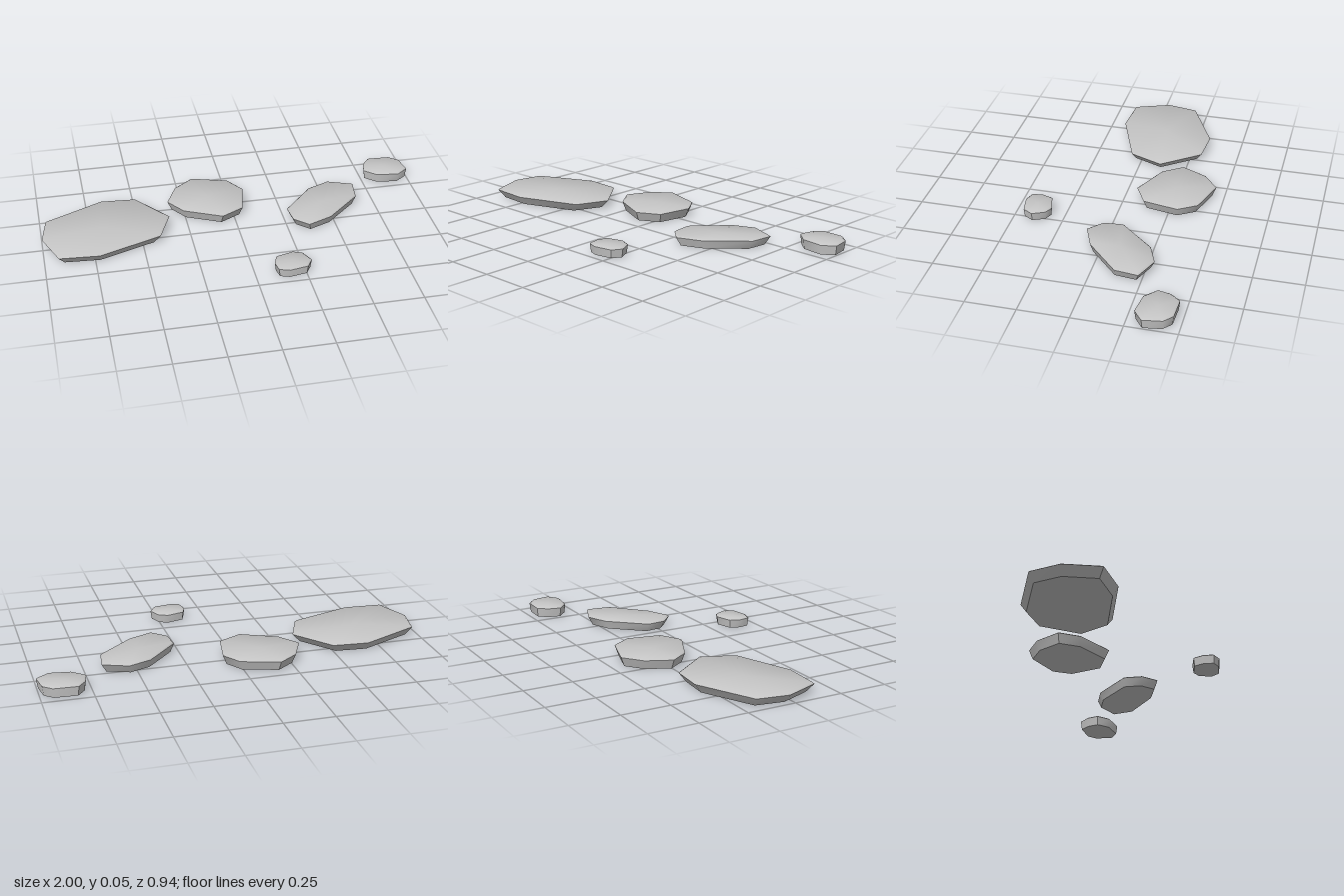
import * as THREE from 'three';
import { toCreasedNormals } from 'three/addons/utils/BufferGeometryUtils.js';

// Outline [x, z] of each slab, its height, and how far the foot tapers inward
const STONES = [
  { name: 'largeStone', height: 0.05, foot: 0.88, outline: [
    [-0.97, -0.19], [-0.67, -0.33], [-0.49, -0.315], [-0.34, -0.12],
    [-0.41, 0.05], [-0.73, 0.165], [-0.93, 0.15], [-1, -0.03]] },
  { name: 'roundStone', height: 0.055, foot: 0.9, outline: [
    [-0.33, -0.25], [-0.27, -0.38], [-0.17, -0.455], [0.02, -0.395],
    [0.08, -0.3], [0.045, -0.12], [-0.07, -0.06], [-0.26, -0.15]] },
  { name: 'longStone', height: 0.05, foot: 0.89, outline: [
    [0.27, -0.07], [0.43, -0.245], [0.545, -0.29], [0.67, -0.24],
    [0.655, -0.12], [0.475, 0.045], [0.35, 0.095], [0.28, 0.03]] },
  { name: 'farStone', height: 0.055, foot: 0.94, outline: [
    [0.765, -0.355], [0.78, -0.42], [0.82, -0.47], [0.94, -0.465],
    [0.985, -0.425], [1, -0.33], [0.94, -0.285], [0.825, -0.3]] },
  { name: 'smallStone', height: 0.05, foot: 0.93, outline: [
    [0.1, 0.395], [0.12, 0.34], [0.21, 0.315], [0.255, 0.335],
    [0.285, 0.4], [0.255, 0.45], [0.16, 0.467], [0.11, 0.45]] },
];

// Slab from three rings: tapered foot, widest rim, slightly inset top
function slabGeometry({ outline, height, foot }) {
  const n = outline.length;
  const cx = outline.reduce((s, p) => s + p[0], 0) / n;
  const cz = outline.reduce((s, p) => s + p[1], 0) / n;
  const inset = 0.01;
  const ring = (y, scaleOf) => outline.map(([x, z]) => {
    const k = scaleOf(Math.hypot(x - cx, z - cz));
    return [cx + (x - cx) * k, y, cz + (z - cz) * k];
  });
  const rings = [
    ring(0, () => foot),
    ring(height - 0.007, () => 1),
    ring(height, (r) => 1 - inset / r),
  ];
  const pos = [];
  const tri = (...pts) => pts.forEach((p) => pos.push(...p));
  for (let i = 0; i < n; i++) {
    const j = (i + 1) % n;
    for (let k = 0; k < 2; k++) {
      const a = rings[k], b = rings[k + 1];
      tri(a[j], a[i], b[i]);
      tri(a[j], b[i], b[j]);
    }
    tri([cx, height, cz], rings[2][j], rings[2][i]);
    tri([cx, 0, cz], rings[0][i], rings[0][j]);
  }
  const geometry = new THREE.BufferGeometry();
  geometry.setAttribute('position', new THREE.Float32BufferAttribute(pos, 3));
  return toCreasedNormals(geometry, 0.8);
}

export function createModel() {
  const group = new THREE.Group();
  group.name = 'steppingStones';
  const stone = new THREE.MeshStandardMaterial({ color: 0xc4c4c4 });
  stone.name = 'light stone grey';
  for (const spec of STONES) {
    const mesh = new THREE.Mesh(slabGeometry(spec), stone);
    mesh.name = spec.name;
    group.add(mesh);
  }
  return group;
}
